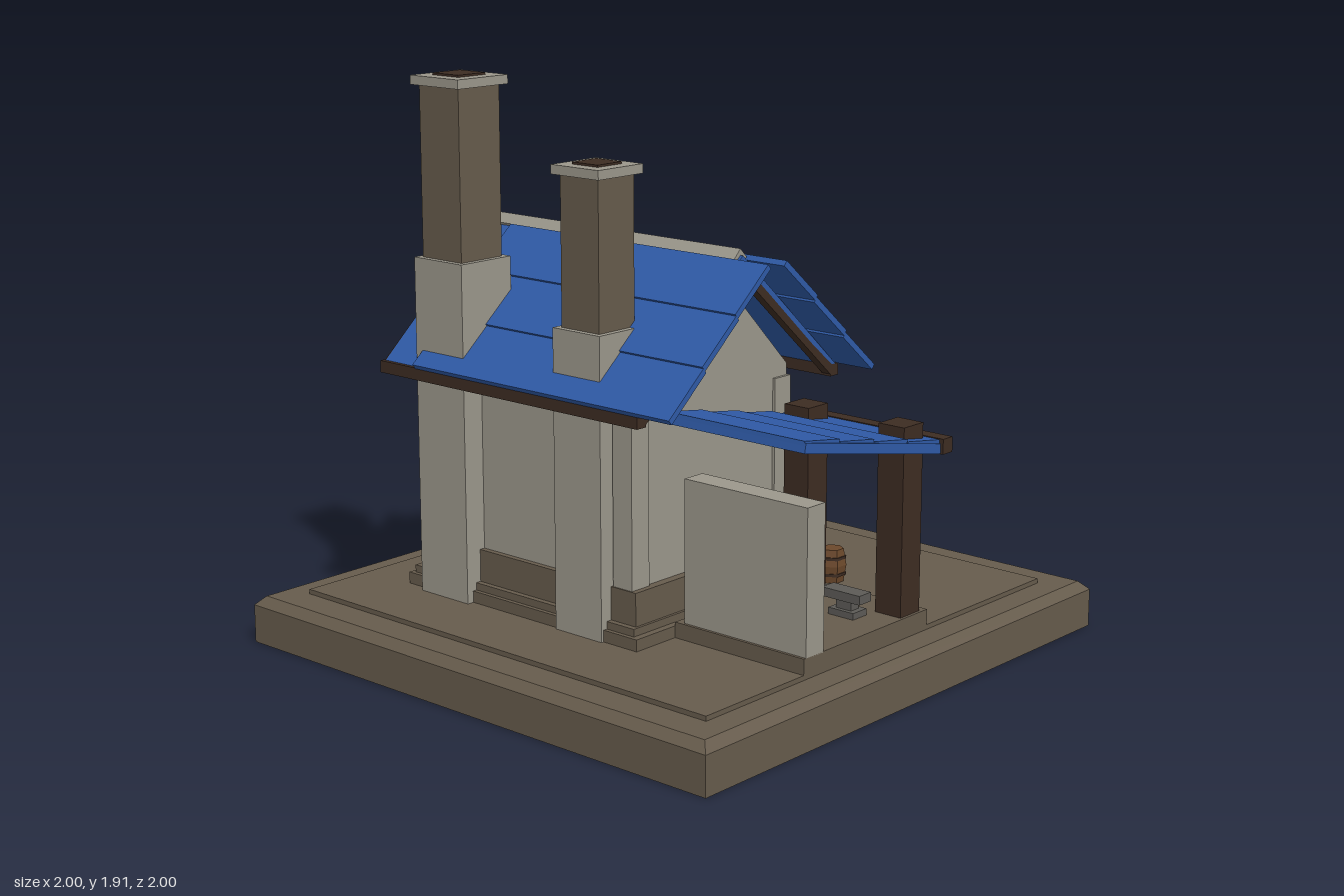
import * as THREE from 'three';

const make = (name, color) => {
  const m = new THREE.MeshStandardMaterial({ color });
  m.name = name;
  return m;
};

export function createModel() {
  const root = new THREE.Group();
  root.name = 'smithy';
  const stone = make('light stone', 0x9b978b);
  const earth = make('brown stone', 0x665b4c);
  const blue = make('blue roof', 0x2f5aa6);
  const dark = make('dark wood', 0x3d2c22);
  const wood = make('wood', 0x6b482b);
  const gold = make('gold', 0xb08432);
  const iron = make('iron', 0x5c5a56);

  const add = (name, geo, mat, x = 0, y = 0, z = 0) => {
    const m = new THREE.Mesh(geo, mat);
    m.name = name;
    m.position.set(x, y, z);
    root.add(m);
    return m;
  };
  // Box given by its limits on each axis
  const box = (name, mat, x0, x1, y0, y1, z0, z1) =>
    add(name, new THREE.BoxGeometry(x1 - x0, y1 - y0, z1 - z0), mat, (x0 + x1) / 2, (y0 + y1) / 2, (z0 + z1) / 2);
  // Sloping slab whose top runs between two (z, y) points
  const slope = (name, mat, x0, x1, za, ya, zb, yb, t) => {
    if (zb < za) [za, ya, zb, yb] = [zb, yb, za, ya];
    const a = Math.atan2(yb - ya, zb - za);
    const m = add(name, new THREE.BoxGeometry(x1 - x0, t, Math.hypot(zb - za, yb - ya)), mat,
      (x0 + x1) / 2, (ya + yb) / 2 - Math.cos(a) * t / 2, (za + zb) / 2 + Math.sin(a) * t / 2);
    m.rotation.x = -a;
    return m;
  };
  // Stick between two points
  const stick = (name, mat, p, q, r, r2 = r) => {
    const a = new THREE.Vector3(...p), b = new THREE.Vector3(...q), d = b.clone().sub(a);
    const m = add(name, new THREE.CylinderGeometry(r2, r, d.length(), 6).toNonIndexed(), mat);
    m.geometry.computeVertexNormals();
    m.position.copy(a).add(b).multiplyScalar(0.5);
    m.quaternion.setFromUnitVectors(new THREE.Vector3(0, 1, 0), d.normalize());
    return m;
  };

  // Ground block with chamfered edges
  const c = 0.97;
  const square = new THREE.Shape([[-c, -c], [c, -c], [c, c], [-c, c]].map(p => new THREE.Vector2(...p)));
  const ground = new THREE.ExtrudeGeometry(square,
    { depth: 0.13, bevelEnabled: true, bevelSegments: 1, bevelSize: 0.03, bevelThickness: 0.03 });
  ground.rotateX(-Math.PI / 2);
  // Keep the lower edge square
  const gp = ground.attributes.position;
  for (let i = 0; i < gp.count; i++) if (gp.getY(i) < -0.01) {
    gp.setXYZ(i, Math.sign(gp.getX(i)), 0, Math.sign(gp.getZ(i)));
  } else if (gp.getY(i) < 0.01) gp.setY(i, 0.002);
  ground.computeVertexNormals();
  add('groundBlock', ground, earth);
  box('groundPlate', earth, -0.88, 0.88, 0.15, 0.176, -0.86, 0.86);

  // House body with gables
  box('foundation', earth, -0.68, 0.36, 0.17, 0.215, -0.27, 0.59);
  box('foundationStep', earth, -0.665, 0.335, 0.21, 0.24, -0.255, 0.575);
  box('plinth', earth, -0.645, 0.325, 0.24, 0.35, -0.235, 0.555);
  const wall = new THREE.Shape([[-0.535, 0.2], [0.215, 0.2], [0.215, 0.95], [-0.16, 1.33], [-0.535, 0.95]]
    .map(p => new THREE.Vector2(...p)));
  const body = new THREE.ExtrudeGeometry(wall, { depth: 0.91, bevelEnabled: false });
  body.rotateY(Math.PI / 2);
  add('walls', body, stone, -0.615);
  for (const x of [-0.63, 0.225]) for (const z of [-0.225, 0.47])
    box('cornerPilaster', stone, x, x + 0.08, 0.22, 0.91, z, z + 0.08);

  // Main roof, mirrored about the ridge
  const ridge = 0.16;
  for (const s of [1, -1]) {
    const Z = d => ridge + s * d;
    slope('roofSlab', blue, -0.72, 0.42, Z(0), 1.375, Z(0.475), 0.95, 0.018);
    for (const x of [-0.725, 0.385])
      slope('rakeBoard', dark, x, x + 0.035, Z(0), 1.365, Z(0.485), 0.94, 0.04);
    box('eaveBoard', dark, -0.73, 0.42, 0.91, 0.95, Z(0.47) - 0.02, Z(0.47) + 0.02);
    for (let i = 0; i < 3; i++) {
      const a = 0.045 + i * 0.151, b = a + 0.156, y = d => 1.415 - 0.91 * d;
      slope('roofPlank', blue, -0.56, 0.56, Z(a), y(a) - 0.004, Z(b), y(b) + 0.006, 0.02);
    }
  }
  const cap = box('ridgeCap', stone, -0.73, 0.41, 1.345, 1.387, 0.139, 0.181);
  cap.rotation.x = Math.PI / 4;

  // Chimneys
  for (const [x, w, shoulder, top, z] of [[-0.48, 0.11, 1.31, 1.87, 0.505], [0.12, 0.1, 1.16, 1.64, 0.5]]) {
    const chimney = (name, mat, h, y0, y1) => box(name, mat, x - h, x + h, y0, y1, z - h, z + h);
    chimney('chimneyBase', stone, w, 0.175, shoulder);
    chimney('chimneyStack', earth, w - 0.02, shoulder, top);
    chimney('chimneyCap', stone, w, top, top + 0.03);
    chimney('chimneyFlue', dark, w * 0.54, top, top + 0.037);
  }

  // Lean-to workshop
  box('workshopFloor', earth, 0.36, 0.88, 0.17, 0.228, -0.22, 0.41);
  box('workshopWall', stone, 0.39, 0.88, 0.225, 0.7, 0.315, 0.4);
  for (const x of [0.44, 0.82]) box('workshopPost', dark, x - 0.05, x + 0.05, 0.225, 0.85, -0.19, -0.09);
  box('workshopBeam', dark, 0.345, 0.92, 0.745, 0.795, -0.28, -0.23);
  const ly = z => 0.92 - (0.45 - z) * 0.2;
  slope('workshopRoof', blue, 0.355, 0.91, 0.45, 0.915, -0.235, 0.778, 0.032);
  for (let i = 0; i < 4; i++) {
    const a = 0.45 - i * 0.171, b = a - 0.168;
    slope('workshopPlank', blue, 0.36, 0.905, a, ly(a), b, ly(b) + 0.008, 0.014);
  }

  // Forge, bench stone and anvil
  box('forge', earth, 0.42, 0.68, 0.225, 0.47, 0.11, 0.285);
  box('forgeLedge', stone, 0.45, 0.65, 0.455, 0.485, 0.085, 0.13);
  box('forgeTools', gold, 0.6, 0.62, 0.26, 0.45, 0.1, 0.112);
  box('workStone', stone, 0.31, 0.38, 0.225, 0.375, -0.02, 0.06);
  box('anvilFoot', iron, 0.67, 0.77, 0.225, 0.25, -0.045, 0.025);
  box('anvilNeck', iron, 0.69, 0.75, 0.25, 0.28, -0.03, 0.01);
  box('anvilFace', iron, 0.64, 0.79, 0.28, 0.31, -0.04, 0.02);
  stick('anvilHorn', iron, [0.64, 0.295, -0.01], [0.58, 0.3, -0.01], 0.015, 0.004);

  // Door with frame and small hood
  for (const x of [-0.27, -0.03]) box('doorJamb', stone, x, x + 0.035, 0.2, 0.6, -0.262, -0.21);
  box('door', wood, -0.235, -0.03, 0.22, 0.58, -0.25, -0.21);
  for (const x of [-0.168, -0.1]) box('doorGroove', dark, x - 0.003, x + 0.003, 0.23, 0.57, -0.253, -0.249);
  box('doorLintel', stone, -0.27, 0.005, 0.57, 0.6, -0.262, -0.21);
  box('doorHood', blue, -0.285, 0.02, 0.6, 0.625, -0.265, -0.21);
  box('doorHandle', gold, -0.065, -0.05, 0.39, 0.42, -0.26, -0.25);
  box('doorMat', earth, -0.34, 0.1, 0.17, 0.195, -0.575, -0.27);
  box('stepStone', stone, -0.475, -0.31, 0.17, 0.22, -0.46, -0.38);

  // Porch canopy with brackets and sign
  slope('canopy', wood, -0.42, 0.1, -0.2, 0.885, -0.44, 0.785, 0.025);
  box('canopyBeam', dark, -0.45, 0.12, 0.765, 0.8, -0.445, -0.4);
  for (const x of [-0.38, 0.06]) {
    stick('canopyBrace', dark, [x, 0.78, -0.21], [x, 0.85, -0.37], 0.015);
    box('canopyPeg', dark, x - 0.015, x + 0.015, 0.82, 0.86, -0.385, -0.355);
  }
  box('signBoard', gold, -0.3, -0.03, 0.765, 0.885, -0.452, -0.425);
  const shield = new THREE.Shape([[-0.085, 0.045], [0.085, 0.045], [0.085, -0.01], [0.04, -0.045], [-0.04, -0.045], [-0.085, -0.01]]
    .map(p => new THREE.Vector2(...p)));
  const plate = add('signShield', new THREE.ExtrudeGeometry(shield, { depth: 0.018, bevelEnabled: false }), blue, -0.165, 0.825, -0.452);
  plate.rotation.y = Math.PI;
  box('signBand', gold, -0.205, -0.125, 0.82, 0.835, -0.476, -0.469);

  // Wall hanging
  box('hangingPanel', blue, 0.22, 0.29, 0.66, 0.75, -0.243, -0.215);
  box('hangingTrim', gold, 0.22, 0.29, 0.64, 0.66, -0.245, -0.215);
  box('wallBracket', dark, 0.12, 0.19, 0.58, 0.61, -0.26, -0.215);
  box('bracketBar', dark, 0.14, 0.17, 0.6, 0.72, -0.24, -0.215);

  // Barrel
  const barrel = new THREE.LatheGeometry([[0, 0.175], [0.038, 0.175], [0.048, 0.235], [0.038, 0.292], [0, 0.292]]
    .map(p => new THREE.Vector2(...p)), 6).toNonIndexed();
  barrel.computeVertexNormals();
  add('barrel', barrel, wood, 0.37, 0, -0.38);
  for (const y of [0.205, 0.262])
    add('barrelHoop', new THREE.CylinderGeometry(0.047, 0.047, 0.01, 6), dark, 0.37, y, -0.38);

  // Grindstone
  box('grindstoneBase', wood, -0.79, -0.64, 0.17, 0.2, -0.32, -0.22);
  const wheel = add('grindstone', new THREE.CylinderGeometry(0.078, 0.078, 0.045, 12), stone, -0.715, 0.288, -0.265);
  wheel.rotation.x = Math.PI / 2;
  for (const z of [-0.3, -0.24]) box('grindstoneLeg', dark, -0.735, -0.695, 0.19, 0.29, z, z + 0.012);

  // Spear rack
  for (const x of [-0.835, -0.66]) box('rackPost', dark, x - 0.012, x + 0.012, 0.175, 0.485, 0.02, 0.045);
  box('rackRail', dark, -0.855, -0.64, 0.462, 0.485, 0.015, 0.045);
  box('rackFoot', wood, -0.88, -0.66, 0.17, 0.19, -0.01, 0.07);
  for (const [x0, x1, z, h] of [[-0.79, -0.79, 0, 0.62], [-0.65, -0.65, 0, 0.62], [-0.81, -0.67, 0.05, 0.64], [-0.64, -0.765, 0.03, 0.64]]) {
    const k = 0.05 * (x1 - x0) / (h - 0.18);
    stick('spearShaft', wood, [x0, 0.18, z], [x1, h, z], 0.011);
    stick('spearTip', iron, [x1, h, z], [x1 + k, h + 0.05, z], 0.016, 0.002);
  }
  return root;
}
